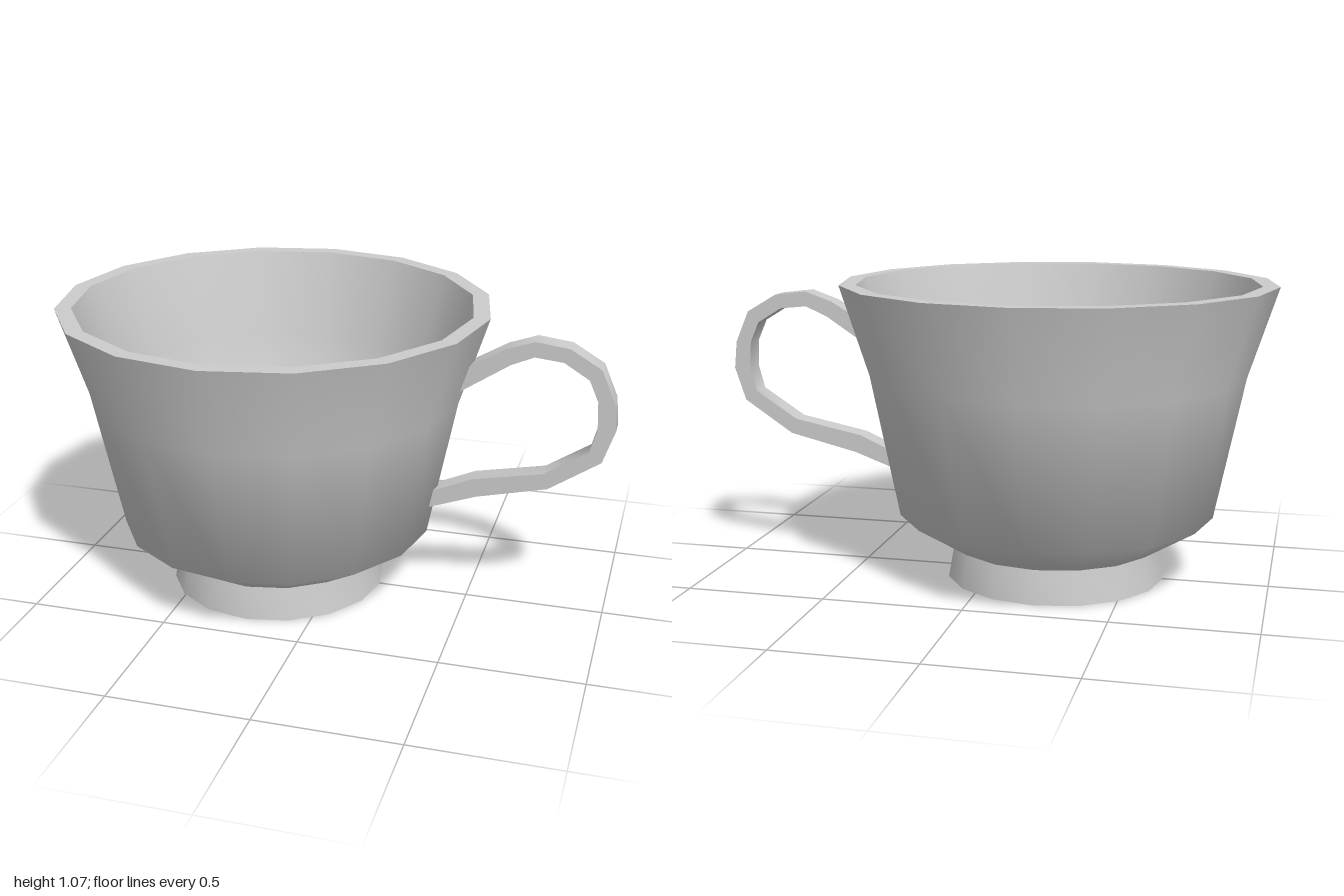
import * as THREE from 'three';
import { toCreasedNormals } from 'three/addons/utils/BufferGeometryUtils.js';

const SIDES = 16;
const CUP_X = -0.226;
const vectors = (list) => list.map(([x, y]) => new THREE.Vector2(x, y));

export function createModel() {
  const group = new THREE.Group();
  const material = new THREE.MeshStandardMaterial({ color: 0xcccccc });

  const addPart = (name, geometry, crease) => {
    const mesh = new THREE.Mesh(toCreasedNormals(geometry, crease), material);
    mesh.name = name;
    group.add(mesh);
    return mesh;
  };
  const turned = (profile) => new THREE.LatheGeometry(vectors(profile), SIDES);

  // Bowl: up the outside, over the rim, down the inside to the floor
  addPart('bowl', turned([
    [0.375, 0.12], [0.57, 0.24], [0.672, 0.75], [0.774, 1.07],
    [0.715, 1.07], [0.62, 0.75], [0.52, 0.27], [0.36, 0.17], [0, 0.17],
  ]), 1.0).position.x = CUP_X;

  // Foot: slightly flared ring with a closed base
  addPart('foot', turned([
    [0, 0], [0.396, 0], [0.375, 0.12],
  ]), 1.0).position.x = CUP_X;

  // Handle: flat strap, outer edge from top to bottom, then back along the inner edge
  const outer = [
    [0.46, 0.89], [0.49, 0.91], [0.61, 0.98], [0.71, 1.015], [0.83, 1.0], [0.94, 0.935],
    [0.99, 0.82], [1.0, 0.72], [0.96, 0.6], [0.78, 0.48], [0.53, 0.42], [0.35, 0.355],
  ];
  const inner = [
    [0.35, 0.415], [0.51, 0.485], [0.76, 0.535], [0.915, 0.635], [0.938, 0.72],
    [0.933, 0.82], [0.9, 0.895], [0.81, 0.95], [0.71, 0.96], [0.63, 0.925], [0.44, 0.8],
  ];
  const strap = new THREE.ExtrudeGeometry(new THREE.Shape(vectors([...outer, ...inner])), {
    depth: 0.08, bevelEnabled: false,
  });
  strap.translate(0, 0, -0.04);
  addPart('handle', strap, 0.8);

  return group;
}
